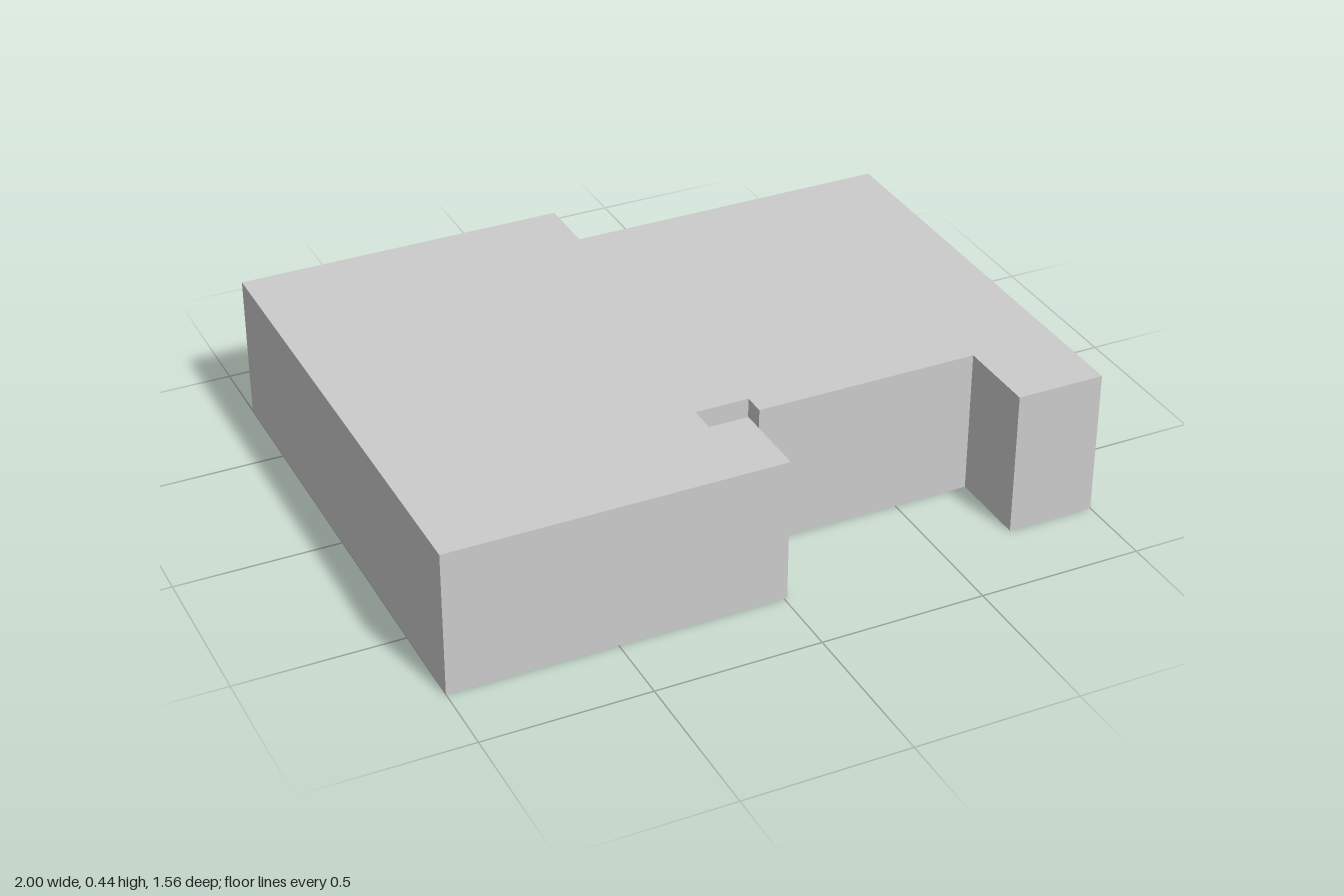
import * as THREE from 'three';

const HEIGHT = 0.445;

// Footprint corners as [x, z], walked around the plan
const FOOTPRINT = [
  [-1, 0.777], [0.01, 0.777],                  // front left wing
  [0.01, 0.527], [-0.11, 0.527], [-0.11, 0.442], // small slot
  [0.053, 0.442], [0.053, 0.508],
  [0.732, 0.508], [0.732, 0.76], [1, 0.76],    // front recess and right wing
  [1, -0.593], [0.005, -0.593],                // stepped back wall
  [0.005, -0.78], [-1, -0.78],
];

export function createModel() {
  const group = new THREE.Group();
  group.name = 'buildingBlock';

  // Footprint extruded upwards into a flat-topped block
  const shape = new THREE.Shape(FOOTPRINT.map(([x, z]) => new THREE.Vector2(x, -z)));
  const geometry = new THREE.ExtrudeGeometry(shape, { depth: HEIGHT, bevelEnabled: false });
  geometry.rotateX(-Math.PI / 2);

  const material = new THREE.MeshStandardMaterial({ color: 0xcccccc, flatShading: true });
  const body = new THREE.Mesh(geometry, material);
  body.name = 'buildingBody';
  group.add(body);
  return group;
}
